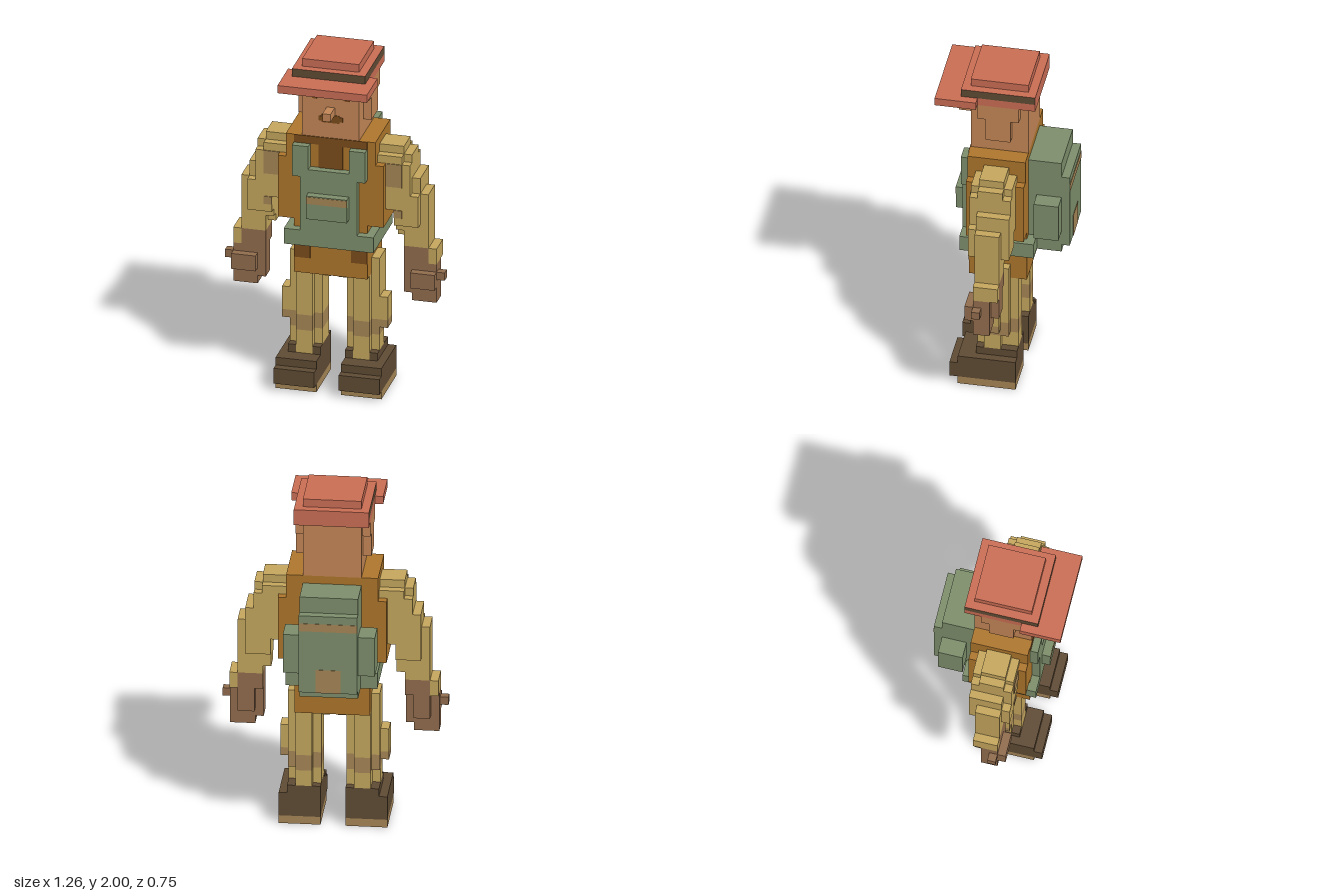
import * as THREE from 'three';

const U = 2 / 43; // one voxel
const T = 0.1; // paint plate thickness in voxels

export function createModel() {
  const mat = (name, color) => Object.assign(new THREE.MeshStandardMaterial({ color }), { name });
  const red = mat('hat red', 0xc96d54), dark = mat('boot brown', 0x5f4b34);
  const skin = mat('skin', 0xc38656), hair = mat('dark brown', 0x7a4b1b);
  const orange = mat('shirt ochre', 0xad762c), green = mat('bag green', 0x7d8e6b);
  const tan = mat('cloth tan', 0xc4a65d), patch = mat('worn tan', 0xa58556);
  const glove = mat('glove brown', 0x916c4d);

  const model = new THREE.Group();
  model.name = 'figure';
  const part = (name, parent = model) => {
    const g = new THREE.Group();
    g.name = name;
    parent.add(g);
    return g;
  };
  // box from voxel bounds
  const box = (g, name, m, x0, x1, y0, y1, z0, z1) => {
    const mesh = new THREE.Mesh(new THREE.BoxGeometry((x1 - x0) * U, (y1 - y0) * U, (z1 - z0) * U), m);
    mesh.position.set((x0 + x1) / 2 * U, (y0 + y1) / 2 * U, (z0 + z1) / 2 * U);
    mesh.name = name;
    g.add(mesh);
  };
  // the same box on both sides, s = +1 left, -1 right
  const sided = (s, g, name, m, x0, x1, ...r) =>
    box(g, name, m, s > 0 ? x0 : -x1, s > 0 ? x1 : -x0, ...r);

  // hat
  const hat = part('hat');
  box(hat, 'crown', red, -3.5, 3.5, 42, 43, -3, 4);
  box(hat, 'band', [dark, dark, red, red, dark, red], -4.5, 4.5, 41, 42, -4, 5);
  box(hat, 'brimBack', red, -4.5, 4.5, 40, 41, -4, 3);
  box(hat, 'brimFront', red, -5.5, 5.5, 40, 41, 3, 8);

  // head
  const head = part('head');
  box(head, 'skull', skin, -3.5, 3.5, 33, 40, -3, 4);
  box(head, 'nose', skin, -0.5, 0.5, 36, 37, 4, 6);
  box(head, 'mouth', hair, -1.5, 1.5, 35.2, 35.8, 4, 4 + T);
  box(head, 'mouthMiddle', hair, -1.1, 1.1, 35, 36, 4, 4 + T);

  // torso
  const torso = part('torso');
  box(torso, 'shirt', orange, -4.5, 4.5, 15, 33, -3, 4);
  box(torso, 'chest', orange, -5.5, 5.5, 22, 33, -3, 4);
  box(torso, 'ribs', orange, -6.5, 6.5, 22, 30, -3, 4);
  box(torso, 'collar', hair, -4.5, 4.5, 32, 33, 4, 4 + T);
  box(torso, 'neckline', hair, -1.5, 1.5, 29, 32, 4, 4 + T);

  // harness and front pocket
  const harness = part('harness');
  box(harness, 'belt', green, -5.5, 5.5, 19, 21, -4, 5);
  box(harness, 'bib', green, -3.5, 3.5, 21, 29, 4, 5);
  box(harness, 'pocket', green, -2.5, 2.5, 23, 26, 5, 6);
  box(harness, 'pocketStripe', patch, -2.5, 2.5, 25, 25.9, 6, 6 + T / 2);

  // backpack
  const pack = part('backpack');
  box(pack, 'packBody', green, -3.5, 3.5, 19, 32, -7, -3);
  box(pack, 'packFlap', green, -3.5, 3.5, 20, 30, -8, -7);
  box(pack, 'packStripe', patch, -3.5, 3.5, 28, 29, -8 - T / 2, -8);
  box(pack, 'packPatch', patch, -1.5, 1.5, 20, 23, -8 - T / 2, -8);

  for (const s of [1, -1]) {
    const side = s > 0 ? 'left' : 'right';
    const b = (...a) => sided(s, ...a);

    // eyes and ears
    b(head, 'eye', hair, 1.5, 2.5, 38.2, 38.8, 4, 4 + T);
    b(head, 'eyeMiddle', hair, 1.7, 2.3, 38, 39, 4, 4 + T);
    b(head, 'earTop', skin, 3.5, 4.5, 38, 40, -2, 3);
    b(head, 'ear', skin, 3.5, 4.5, 35, 38, -1, 2);

    // straps, hip patches and pack side pockets
    b(harness, 'strap', green, 2.5, 4.5, 28, 32, 4, 5);
    b(torso, 'hipPatch', hair, 2.5, 4.5, 17, 19, 4, 4 + T);
    b(pack, 'sidePocket', green, 3.5, 5.5, 22, 27, -7, -4);

    // arm
    const arm = part(side + 'Arm');
    b(arm, 'shoulderTop', tan, 5.5, 8.5, 31, 32, -1, 2);
    b(arm, 'shoulder', tan, 5.5, 8.5, 30, 31, -2, 3);
    b(arm, 'shoulderSide', tan, 8.5, 9.5, 28, 31, -1, 2);
    b(arm, 'upperArm', tan, 6.5, 9.5, 24, 30, -2, 3);
    b(arm, 'upperArmOuter', tan, 9.5, 10.5, 24, 28, -2, 2);
    b(arm, 'armPatch', patch, 6.5, 8.5, 27, 30, 3, 3 + T);
    b(arm, 'elbow', tan, 7.5, 10.5, 22, 26, -2, 3);
    b(arm, 'elbowPatch', patch, 7.5, 8.5, 23, 24, 3, 3 + T);
    b(arm, 'forearmUpper', tan, 7.5, 11.5, 21, 26, -1, 2);
    b(arm, 'forearm', tan, 8.5, 11.5, 19, 22, -1, 2);
    b(arm, 'forearmInner', tan, 7.5, 8.5, 20, 21, -1, 1);
    b(arm, 'cuff', tan, 11.5, 12.5, 17, 19, -1, 2);
    b(arm, 'wrist', glove, 8.5, 11.5, 17, 19, -1, 2);
    b(arm, 'hand', glove, 8.5, 12.5, 13, 17, 0, 2);
    b(arm, 'handBack', glove, 9.5, 11.5, 14, 17, -1, 0);
    b(arm, 'fingers', glove, 9.5, 12.5, 12, 14, 0, 2);
    b(arm, 'knuckles', glove, 9.5, 12.5, 14, 16, 2, 3);
    b(arm, 'thumb', glove, 12.5, 13.5, 15, 16, 1, 2);

    // leg, a cross-shaped column with a worn knee band
    const leg = part(side + 'Leg');
    for (const [name, m, y0, y1] of [['shin', tan, 5, 7], ['knee', patch, 7, 9], ['thigh', tan, 9, 15]]) {
      b(leg, name, m, 1.5, name === 'shin' ? 4.5 : 5.5, y0, y1, -1, 2);
      b(leg, name + 'Ridge', m, 2.5, 4.5, y0, y1, -2, 3);
    }
    b(leg, 'hip', tan, 4.5, 5.5, 15, 17, -1, 2);
    b(leg, 'crotch', tan, 0.5, 1.5, 14, 15, -1, 2);
    b(leg, 'shinSide', tan, 4.5, 5.5, 5, 7, 0, 2);
    b(leg, 'kneeSide', patch, 5.5, 6.5, 8, 9, 0, 2);
    b(leg, 'thighSide', tan, 5.5, 6.5, 9, 12, 0, 2);

    // boot
    const boot = part(side + 'Boot');
    b(boot, 'sole', patch, 1.5, 6.5, 0, 1, -2, 5);
    b(boot, 'foot', dark, 1.5, 6.5, 1, 4, -2, 5);
    b(boot, 'toe', dark, 1.5, 6.5, 1, 3, 5, 6);
    b(boot, 'shaftInner', dark, 1.5, 2.5, 4, 5, -2, 3);
    b(boot, 'shaftOuter', dark, 4.5, 5.5, 4, 5, -2, 3);
    b(boot, 'shaftBack', dark, 2.5, 4.5, 4, 5, -2, 2);
    b(leg, 'ankle', tan, 2.5, 4.5, 4, 5, 2, 3);
  }
  return model;
}
